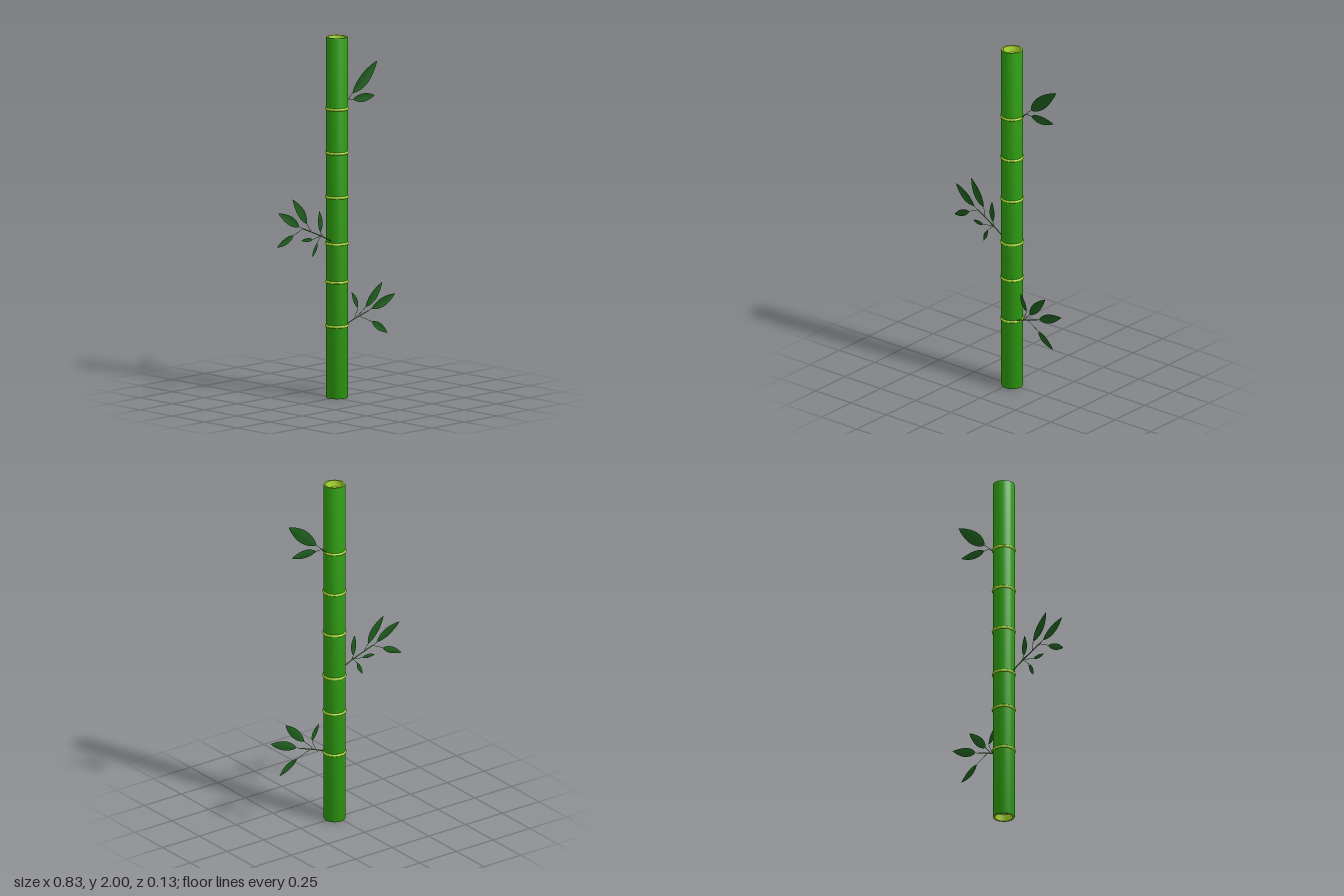
import * as THREE from 'three';
import { toCreasedNormals } from 'three/addons/utils/BufferGeometryUtils.js';

const mat = (color) => new THREE.MeshStandardMaterial({ color, side: THREE.DoubleSide });
const green = mat(0x2e9c10);
const lime = mat(0xa4d62e);
const rimGreen = mat(0x8fc02c);
const leafGreen = mat(0x1c5a1c);
const twigGreen = mat(0x4f8a30);

function add(parent, name, geometry, material) {
  const mesh = new THREE.Mesh(geometry, material);
  mesh.name = name;
  parent.add(mesh);
  return mesh;
}

function group(parent, name) {
  const g = new THREE.Group();
  g.name = name;
  parent.add(g);
  return g;
}

function lathe(points) {
  return toCreasedNormals(new THREE.LatheGeometry(points.map((p) => new THREE.Vector2(...p)), 48), 0.6);
}

// Pointed blade from base to tip, folded a little along its midrib
function leafGeometry(base, tip) {
  const along = tip.clone().sub(base);
  const length = along.length();
  along.normalize();
  const normal = new THREE.Vector3(0, 0, 1).addScaledVector(along, -along.z).normalize();
  const across = new THREE.Vector3().crossVectors(normal, along);
  const geo = new THREE.PlaneGeometry(1, 1, 6, 16);
  const pos = geo.attributes.position;
  for (let i = 0; i < pos.count; i++) {
    const v = pos.getX(i) * 2;
    const t = pos.getY(i) + 0.5;
    const bulge = Math.max(0, Math.sin(Math.PI * Math.pow(t, 0.85)));
    const half = 0.145 * length * Math.pow(bulge, 0.85);
    const p = base.clone()
      .addScaledVector(along, t * length)
      .addScaledVector(across, v * half)
      .addScaledVector(normal, Math.abs(v) * half * 0.14 + 0.012 * length * bulge);
    pos.setXYZ(i, p.x, p.y, p.z);
  }
  geo.computeVertexNormals();
  return geo;
}

// Twig with leaves, lying in the upright plane z = z0 + slope * x.
// stem: x, y points; leaf: place along the stem, base x, y, tip x, y, forward offset
function addSpray(model, name, z0, slope, stem, leaves) {
  const spray = group(model, name);
  const at = (x, y, forward = 0) => new THREE.Vector3(x, y, z0 + slope * x + forward);
  const path = new THREE.CatmullRomCurve3(stem.map(([x, y]) => at(x, y)));
  add(spray, 'branch', new THREE.TubeGeometry(path, 16, 0.003, 8), twigGreen);
  for (const [place, bx, by, tx, ty, forward] of leaves) {
    const base = at(bx, by, forward);
    const tip = at(tx, ty, forward);
    const curve = new THREE.CatmullRomCurve3([path.getPoint(place), base, base.clone().lerp(tip, 0.08)]);
    add(spray, 'leafStalk', new THREE.TubeGeometry(curve, 8, 0.0014, 6), twigGreen);
    add(spray, 'leaf', leafGeometry(base, tip), leafGreen);
  }
}

export function createModel() {
  const model = new THREE.Group();
  model.name = 'bambooStalk';

  // Stalk wall with slightly eased ends
  const stalk = group(model, 'stalk');
  stalk.position.x = 0.018;
  add(stalk, 'stalkWall', lathe([[0.058, 0], [0.06, 0.006], [0.06, 1.994], [0.058, 2]]), green);

  // Cut ends: rim and shallow hollow
  for (const [name, y, turn] of [['topEnd', 2, 0], ['bottomEnd', 0, Math.PI]]) {
    const end = group(stalk, name);
    end.position.y = y;
    end.rotation.x = turn;
    add(end, 'rim', lathe([[0.058, 0], [0.048, 0]]), rimGreen);
    add(end, 'hollow', lathe([[0.048, 0], [0.042, -0.035], [0, -0.035]]), lime);
  }

  // Node rings
  for (const y of [0.4, 0.645, 0.857, 1.115, 1.36, 1.604]) {
    const ring = add(stalk, 'nodeRing', new THREE.TorusGeometry(0.0585, 0.0075, 10, 48), lime);
    ring.rotation.x = Math.PI / 2;
    ring.position.y = y;
  }

  // Leafy side sprays
  addSpray(model, 'upperSpray', -0.011, 0.03, [[0.06, 1.6], [0.085, 1.615], [0.11, 1.638]], [
    [1, 0.145, 1.67, 0.33, 1.826],
    [1, 0.148, 1.635, 0.31, 1.636],
  ]);
  addSpray(model, 'middleSpray', 0.018, 0.115, [[-0.03, 0.87], [-0.1, 0.908], [-0.235, 0.968]], [
    [1, -0.262, 0.982, -0.405, 1.072],
    [0.8, -0.198, 0.99, -0.296, 1.135, -0.012],
    [0.5, -0.115, 0.935, -0.122, 1.053],
    [1, -0.3, 0.938, -0.415, 0.884],
    [0.55, -0.18, 0.903, -0.257, 0.905, 0.012],
    [0.55, -0.146, 0.878, -0.18, 0.805, 0.01],
  ]);
  addSpray(model, 'lowerSpray', 0.021, 0.08, [[0.06, 0.4], [0.1, 0.418], [0.22, 0.458]], [
    [1, 0.245, 0.467, 0.412, 0.53],
    [0.65, 0.185, 0.485, 0.305, 0.61, 0.017],
    [0.6, 0.146, 0.485, 0.102, 0.577],
    [0.75, 0.24, 0.397, 0.353, 0.322, 0.004],
  ]);
  return model;
}
